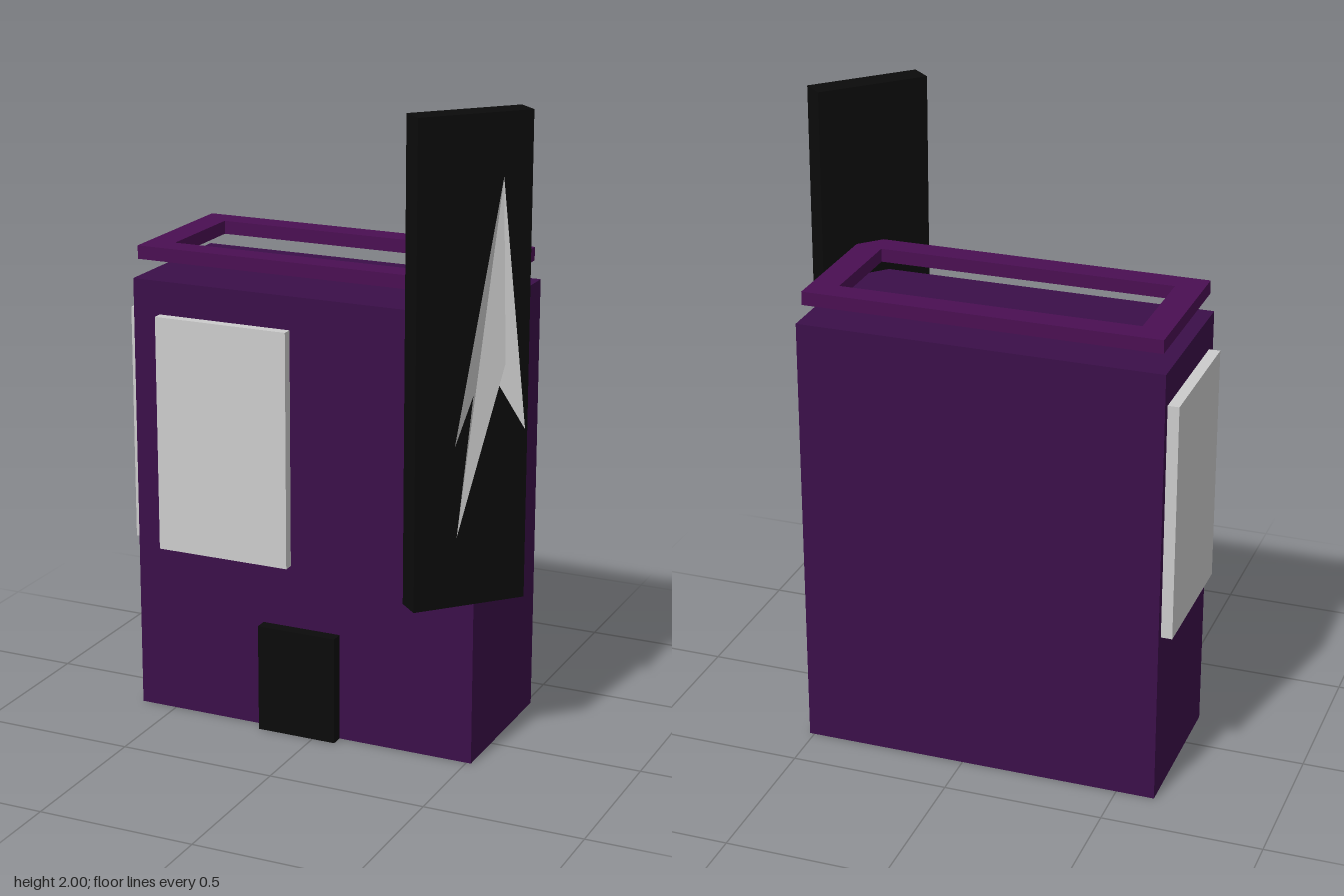
import * as THREE from 'three';

const mat = (color) => new THREE.MeshStandardMaterial({ color, flatShading: true });

// Box given by its min and max corners
function boxBetween(name, [x0, y0, z0], [x1, y1, z1], material) {
  const mesh = new THREE.Mesh(new THREE.BoxGeometry(x1 - x0, y1 - y0, z1 - z0), material);
  mesh.position.set((x0 + x1) / 2, (y0 + y1) / 2, (z0 + z1) / 2);
  mesh.name = name;
  return mesh;
}

// Faceted arrowhead: folded front sheet closed by a fan to one rear point
function arrowGeometry() {
  const tip = [0.073, 1.82, 0.074];
  const wingL = [-0.105, 1.06, 0.151];
  const notchL = [-0.011, 1.25, 0.086];
  const tail = [-0.06, 0.755, 0.075];
  const notchR = [0.088, 1.27, 0.075];
  const wingR = [0.146, 1.07, 0.094];
  const rear = [0.04, 1.27, 0.041];
  const outline = [tip, wingL, notchL, tail, notchR, wingR];
  const triangles = [];
  for (let i = 1; i < outline.length - 1; i++) triangles.push(tip, outline[i], outline[i + 1]);
  outline.forEach((p, i) => triangles.push(outline[(i + 1) % outline.length], p, rear));
  const geometry = new THREE.BufferGeometry();
  geometry.setAttribute('position', new THREE.Float32BufferAttribute(triangles.flat(), 3));
  geometry.computeVertexNormals();
  return geometry;
}

export function createModel() {
  const model = new THREE.Group();
  model.name = 'building';
  const purple = mat(0x3b0f49);
  const trim = mat(0x4a0f52);
  const black = mat(0x0b0b0b);
  const grey = mat(0xcccccc);

  // Main block, door and windows
  model.add(
    boxBetween('body', [-0.62, 0, -0.345], [0.515, 1.4, 0.165], purple),
    boxBetween('door', [-0.185, 0, 0.125], [0.075, 0.345, 0.205], black),
    boxBetween('frontWindow', [-0.53, 0.545, 0.155], [-0.09, 1.295, 0.197], grey),
    boxBetween('sideWindow', [-0.655, 0.545, -0.32], [-0.61, 1.295, 0.12], grey),
  );

  // Open rectangular frame floating above the roof
  const rect = (Type, w, d) => new Type([
    new THREE.Vector2(-w, -d), new THREE.Vector2(w, -d),
    new THREE.Vector2(w, d), new THREE.Vector2(-w, d),
  ]);
  const ring = rect(THREE.Shape, 0.553, 0.245);
  ring.holes.push(rect(THREE.Path, 0.466, 0.165));
  const roofFrame = new THREE.Mesh(
    new THREE.ExtrudeGeometry(ring, { depth: 0.042, bevelEnabled: false }), trim);
  roofFrame.rotation.x = -Math.PI / 2;
  roofFrame.position.set(-0.056, 1.459, -0.092);
  roofFrame.name = 'roofFrame';
  model.add(roofFrame);

  // Tall sign turned across the front corner, with its arrow
  const sign = new THREE.Group();
  sign.name = 'sign';
  sign.position.set(0.481, 0, 0.162);
  sign.rotation.y = THREE.MathUtils.degToRad(47);
  sign.add(boxBetween('signBoard', [-0.18, 0.525, -0.04], [0.18, 2, 0.04], black));
  const arrow = new THREE.Mesh(arrowGeometry(), grey);
  arrow.name = 'signArrow';
  sign.add(arrow);
  model.add(sign);

  return model;
}
